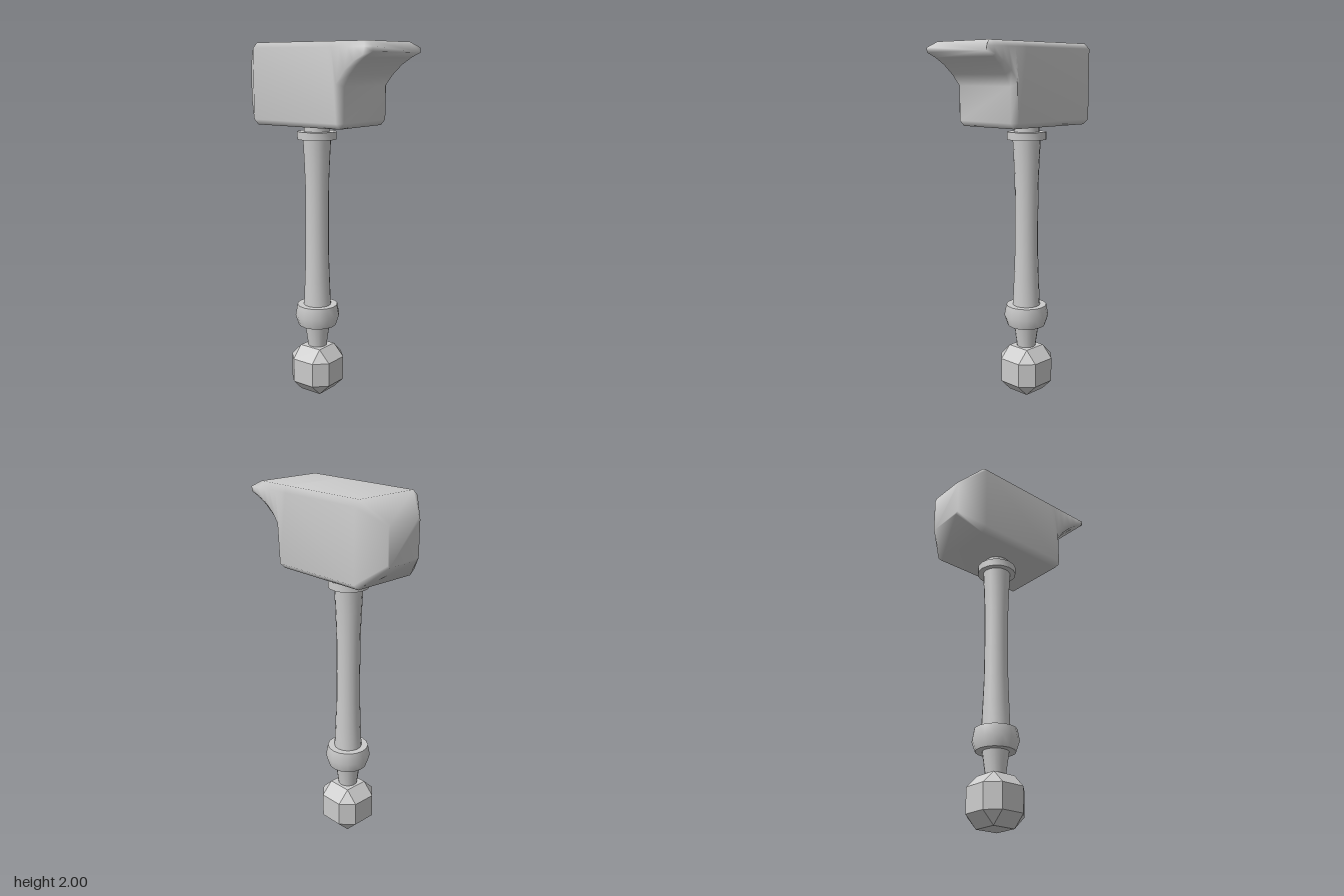
import * as THREE from 'three';
import { mergeVertices, toCreasedNormals } from 'three/addons/utils/BufferGeometryUtils.js';
import { ConvexGeometry } from 'three/addons/geometries/ConvexGeometry.js';

const material = new THREE.MeshStandardMaterial({ color: 0xcccccc });
const HANDLE_Z = -0.066;

function add(group, name, geometry, y = 0, z = 0) {
  const mesh = new THREE.Mesh(geometry, material);
  mesh.name = name;
  mesh.position.set(0, y, z);
  group.add(mesh);
}

// Turned part: [radius, height] pairs, from bottom to top
function turned(profile) {
  const lathe = new THREE.LatheGeometry(profile.map(([r, y]) => new THREE.Vector2(r, y)), 16);
  return toCreasedNormals(lathe, 0.7);
}

// Each row holds the four right-hand points of one ring, [x, y, z] from bottom to top;
// the left half is mirrored and neighbouring rings are joined
function loft(rows) {
  const rings = rows.map(half => [...half, ...half.map(([x, y, z]) => [-x, y, z]).reverse()]);
  const n = rings[0].length;
  const index = [];
  for (let i = 0; i < rings.length - 1; i++) {
    for (let j = 0; j < n; j++) {
      const a = i * n + j, b = i * n + (j + 1) % n;
      index.push(a, b, b + n, a, b + n, a + n);
    }
  }
  const last = (rings.length - 1) * n;
  for (let k = 1; k < n - 1; k++) {
    index.push(0, k + 1, k, last, last + k, last + k + 1);
  }
  let g = new THREE.BufferGeometry();
  g.setAttribute('position', new THREE.Float32BufferAttribute(rings.flat(2), 3));
  g.setIndex(index);
  g = mergeVertices(g);
  g.computeVertexNormals();
  return g;
}

// Head: tapered back, boxy middle, and an overhanging curved lip at the front
function headGeometry() {
  const W = 0.223, N = 0.19, TOP = 2;
  // lower inner point, lower outer point, then z of the top edge
  const ring = (a, b, z, zc = z) => [a, b, [W, TOP - 0.03, zc], [N, TOP, z]];
  return loft([
    [[0.1, 1.677, -0.447], [0.112, 1.69, -0.447], [0.112, 1.88, -0.447], [0.1, 1.894, -0.447]],
    ring([N, 1.56, -0.328], [W, 1.59, -0.328], -0.328),
    ring([N, 1.56, 0.23], [W, 1.59, 0.23], 0.17),
    ring([N, 1.59, 0.258], [W, 1.59, 0.23], 0.2),
    ring([N, 1.775, 0.258], [W, 1.79, 0.23], 0.25),
    ring([0.2, 1.835, 0.3], [W, 1.855, 0.28], 0.3),
    ring([0.208, 1.885, 0.35], [W, 1.9, 0.335], 0.34),
    ring([0.216, 1.92, 0.4], [W, 1.93, 0.39], 0.375, 0.4),
    ring([W, 1.945, 0.45], [W, 1.945, 0.45], 0.405, 0.45),
  ]);
}

// Pommel: a cube with wide bevels on all edges and corners
function pommelGeometry() {
  const h = 0.137, m = 0.069, points = [];
  for (const sx of [-1, 1]) for (const sy of [-1, 1]) for (const sz of [-1, 1]) {
    for (const [x, y, z] of [[h, m, m], [m, h, m], [m, m, h]]) {
      points.push(new THREE.Vector3(sx * x, sy * y, sz * z));
    }
  }
  return new ConvexGeometry(points);
}

export function createModel() {
  const model = new THREE.Group();
  model.name = 'hammer';
  add(model, 'head', headGeometry());

  // Handle, stacked from the top down
  const handle = new THREE.Group();
  handle.name = 'handle';
  handle.position.z = HANDLE_Z;
  model.add(handle);
  add(handle, 'neck', turned([[0.071, 1.51], [0.071, 1.57]]));
  add(handle, 'collar', turned([[0, 1.48], [0.11, 1.48], [0.11, 1.523], [0, 1.523]]));
  add(handle, 'shaft', turned([[0.079, 0.51], [0.072, 0.68], [0.067, 0.82], [0.066, 1.0],
    [0.067, 1.22], [0.072, 1.35], [0.079, 1.49]]));
  add(handle, 'gripRing', turned([[0, 0.403], [0.109, 0.403], [0.128, 0.46], [0.116, 0.525], [0, 0.525]]));
  add(handle, 'lowerNeck', turned([[0.053, 0.265], [0.073, 0.41]]));
  add(handle, 'pommel', pommelGeometry(), 0.138);
  return model;
}
